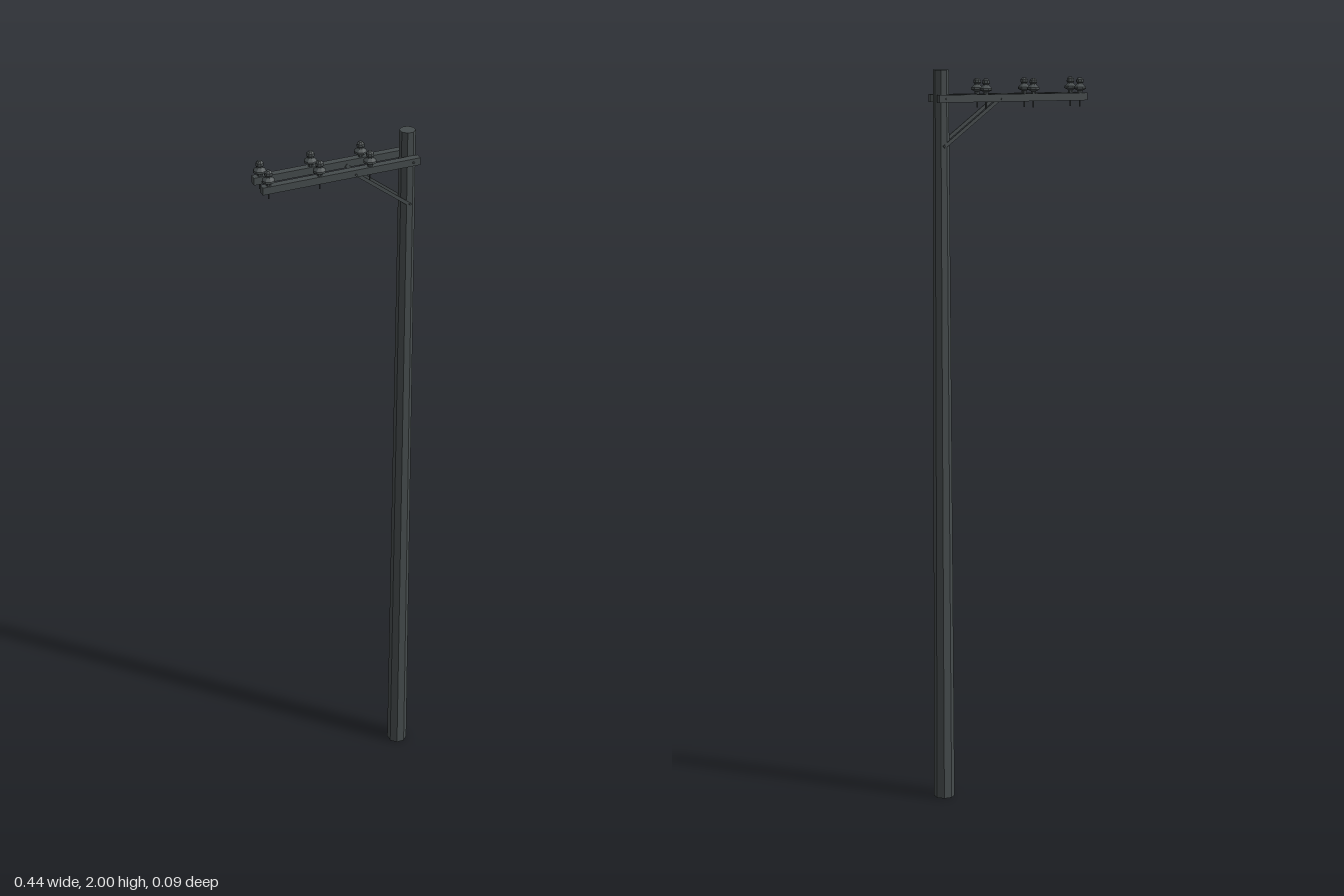
import * as THREE from 'three';

export function createModel() {
  const model = new THREE.Group();
  const wood = new THREE.MeshStandardMaterial({ color: 0x454b4c });
  wood.name = 'dark weathered grey';
  wood.flatShading = true;
  const poleX = 0.192;

  const add = (name, geometry, x, y, z, parent = model) => {
    const mesh = new THREE.Mesh(geometry, wood);
    mesh.name = name;
    mesh.position.set(x, y, z);
    parent.add(mesh);
    return mesh;
  };

  // Tapered octagonal pole with flats facing the axes
  const pole = new THREE.CylinderGeometry(0.021, 0.0285, 2, 8);
  pole.rotateY(Math.PI / 8);
  add('pole', pole, poleX, 1, 0);

  // Insulator on a pin: wide skirt, narrow neck, rounded cap
  const insulatorGeo = new THREE.LatheGeometry([
    [0, 0], [0.007, 0], [0.007, 0.006], [0.018, 0.011], [0.017, 0.016],
    [0.009, 0.023], [0.008, 0.026], [0.011, 0.029], [0.01, 0.036], [0.005, 0.041], [0, 0.041],
  ].map(([r, y]) => new THREE.Vector2(r, y)), 8);
  const pinGeo = new THREE.CylinderGeometry(0.0022, 0.0022, 0.045, 6);

  // Diagonal brace runs from the arm down to the pole
  const top = new THREE.Vector2(0.03, 1.922);
  const foot = new THREE.Vector2(poleX, 1.797);
  const braceLength = top.distanceTo(foot);
  const braceAngle = Math.atan2(foot.y - top.y, foot.x - top.x);

  for (const [side, s] of [['front', 1], ['back', -1]]) {
    const assembly = new THREE.Group();
    assembly.name = side + 'CrossarmAssembly';
    model.add(assembly);
    add('crossarm', new THREE.BoxGeometry(0.432, 0.02, 0.019), -0.004, 1.925, s * 0.0295, assembly);
    for (const x of [-0.201, -0.063, 0.075]) {
      add('insulator', insulatorGeo, x, 1.935, s * 0.0295, assembly);
      add('insulatorPin', pinGeo, x, 1.92, s * 0.0295, assembly);
    }
    const brace = add('brace', new THREE.BoxGeometry(braceLength, 0.009, 0.004),
      (top.x + foot.x) / 2, (top.y + foot.y) / 2, s * 0.0195, assembly);
    brace.rotation.z = braceAngle;
  }

  // Through bolts: arms to pole, braces to arms, braces to pole
  const bolt = (name, x, y, length) => {
    const geometry = new THREE.CylinderGeometry(0.003, 0.003, length, 6);
    geometry.rotateX(Math.PI / 2);
    add(name, geometry, x, y, 0);
  };
  bolt('crossarmBolt', poleX, 1.925, 0.084);
  bolt('braceFootBolt', poleX, 1.8, 0.052);
  for (const s of [1, -1]) {
    const geometry = new THREE.CylinderGeometry(0.003, 0.003, 0.024, 6);
    geometry.rotateX(Math.PI / 2);
    add('braceTopBolt', geometry, 0.033, 1.922, s * 0.03);
  }
  return model;
}
